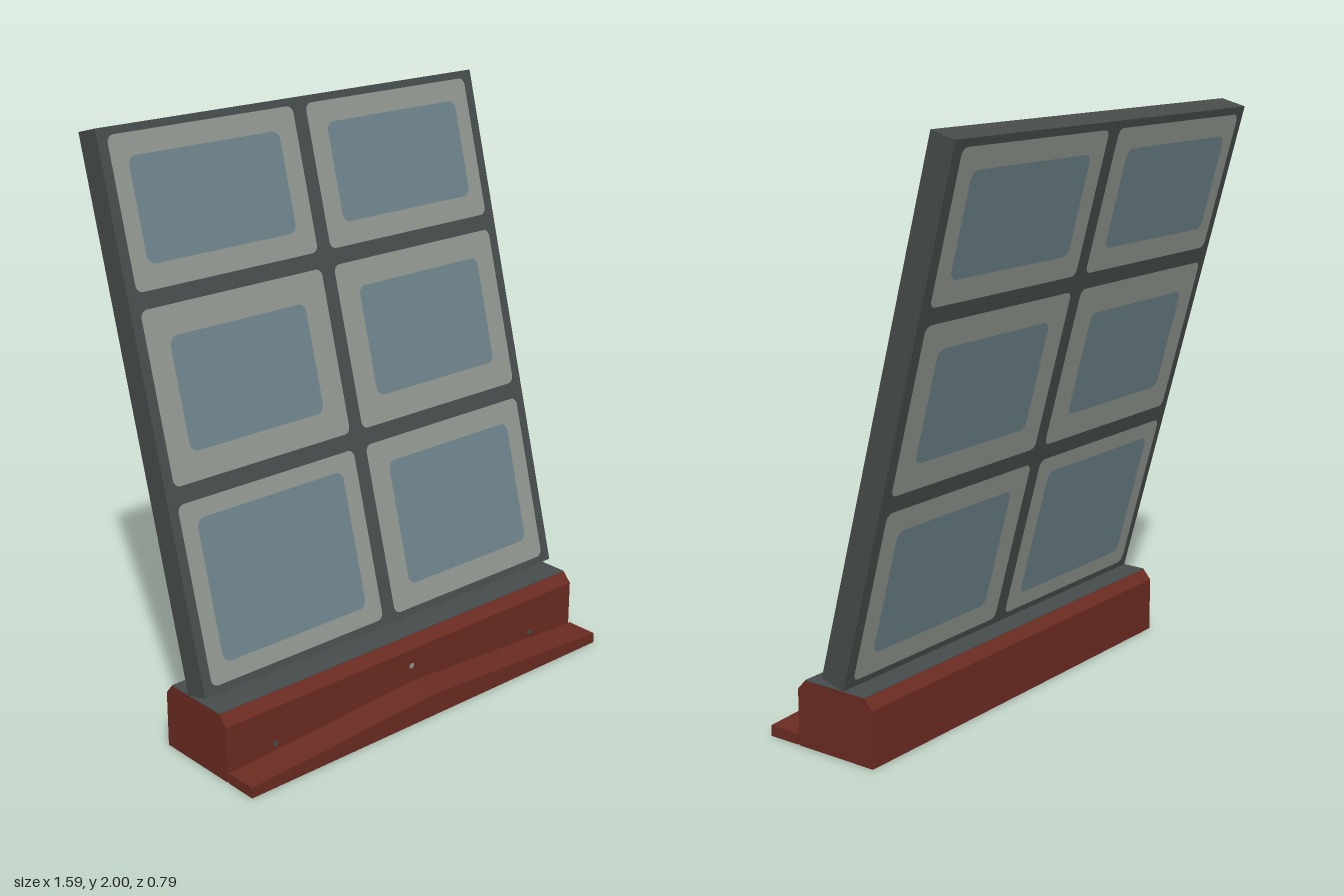
import * as THREE from 'three';

const mat = (name, color) => Object.assign(new THREE.MeshStandardMaterial({ color }), { name });

// Flat rectangle with rounded corners, facing +z
function roundedRect([x0, x1], [y0, y1], r) {
  const s = new THREE.Shape();
  s.absarc(x1 - r, y1 - r, r, 0, Math.PI / 2);
  s.absarc(x0 + r, y1 - r, r, Math.PI / 2, Math.PI);
  s.absarc(x0 + r, y0 + r, r, Math.PI, Math.PI * 1.5);
  s.absarc(x1 - r, y0 + r, r, Math.PI * 1.5, Math.PI * 2);
  return new THREE.ShapeGeometry(s, 4);
}

export function createModel() {
  const red = mat('redBrownWood', 0x6a2b21);
  const grey = mat('darkGreyFrame', 0x464c4b);
  const pale = mat('paleBorder', 0x8f968e);
  const blue = mat('blueGreyGlass', 0x6d828a);
  const model = new THREE.Group();
  model.name = 'leaningWindow';
  const add = (parent, name, geometry, material, x = 0, y = 0, z = 0) => {
    const m = new THREE.Mesh(geometry, material);
    m.name = name;
    m.position.set(x, y, z);
    parent.add(m);
    return m;
  };
  const W = 1.59, H = 1.806, T = 0.093, TILT = Math.PI / 12;

  // Sill block with chamfered upper edges, extruded along x
  const profile = new THREE.Shape([
    [-0.27, 0], [0.043, 0], [0.043, 0.195], [0.013, 0.23], [-0.238, 0.23], [-0.27, 0.195],
  ].map(([a, b]) => new THREE.Vector2(a, b)));
  const sill = new THREE.ExtrudeGeometry(profile, { depth: W, bevelEnabled: false });
  sill.translate(0, 0, -W / 2).rotateY(Math.PI / 2);
  add(model, 'sill', sill, red);
  add(model, 'sillTop', new THREE.BoxGeometry(W, 0.003, 0.25), grey, 0, 0.2305, 0.1125);

  // Low front ledge, rising to a shallow peak at the middle
  const ledgeShape = new THREE.Shape([
    [-W / 2, 0], [W / 2, 0], [W / 2, 0.037], [0, 0.08], [-W / 2, 0.037],
  ].map(([a, b]) => new THREE.Vector2(a, b)));
  const ledge = new THREE.ExtrudeGeometry(ledgeShape, { depth: 0.117, bevelEnabled: false });
  add(model, 'frontLedge', ledge, red, 0, 0, 0.278);

  // Small marks on the front of the sill
  for (const [x, y, m] of [[-0.6, 0.066, grey], [0, 0.135, pale], [0.585, 0.066, grey]])
    add(model, 'sillMark', new THREE.CircleGeometry(0.011, 8), m, x, y, 0.272);

  // Leaning panel, hinged at its lower front edge; its underside is wood
  const panel = new THREE.Group();
  panel.name = 'leaningPanel';
  panel.position.set(0, 0.255, 0.165);
  panel.rotation.x = -TILT;
  model.add(panel);
  add(panel, 'frame', new THREE.BoxGeometry(W, H, T),
    [grey, grey, grey, red, grey, grey], 0, H / 2, -T / 2);

  // Panes: border x, border y, glass x, glass y (heights above the ground)
  const panes = [
    [[-0.76, -0.03], [1.505, 1.975], [-0.7, -0.105], [1.58, 1.905]],
    [[0.025, 0.757], [1.505, 1.975], [0.1, 0.693], [1.58, 1.905]],
    [[-0.76, -0.03], [0.91, 1.452], [-0.675, -0.125], [1.0, 1.357]],
    [[0.025, 0.757], [0.91, 1.452], [0.115, 0.675], [1.0, 1.367]],
    [[-0.762, -0.03], [0.28, 0.855], [-0.702, -0.095], [0.34, 0.798]],
    [[0.025, 0.757], [0.28, 0.855], [0.11, 0.687], [0.357, 0.78]],
  ];
  const along = (ys) => ys.map((y) => (y - 0.255) / Math.cos(TILT));
  for (const back of [false, true]) {
    const side = new THREE.Group();
    side.name = back ? 'backPanes' : 'frontPanes';
    if (back) {
      side.position.z = -T;
      side.rotation.y = Math.PI;
    }
    panel.add(side);
    const across = (xs) => (back ? [-xs[1], -xs[0]] : xs);
    for (const [bx, by, gx, gy] of panes) {
      add(side, 'paneBorder', roundedRect(across(bx), along(by), 0.025), pale, 0, 0, 0.002);
      add(side, 'paneGlass', roundedRect(across(gx), along(gy), 0.03), blue, 0, 0, 0.004);
    }
  }
  return model;
}
